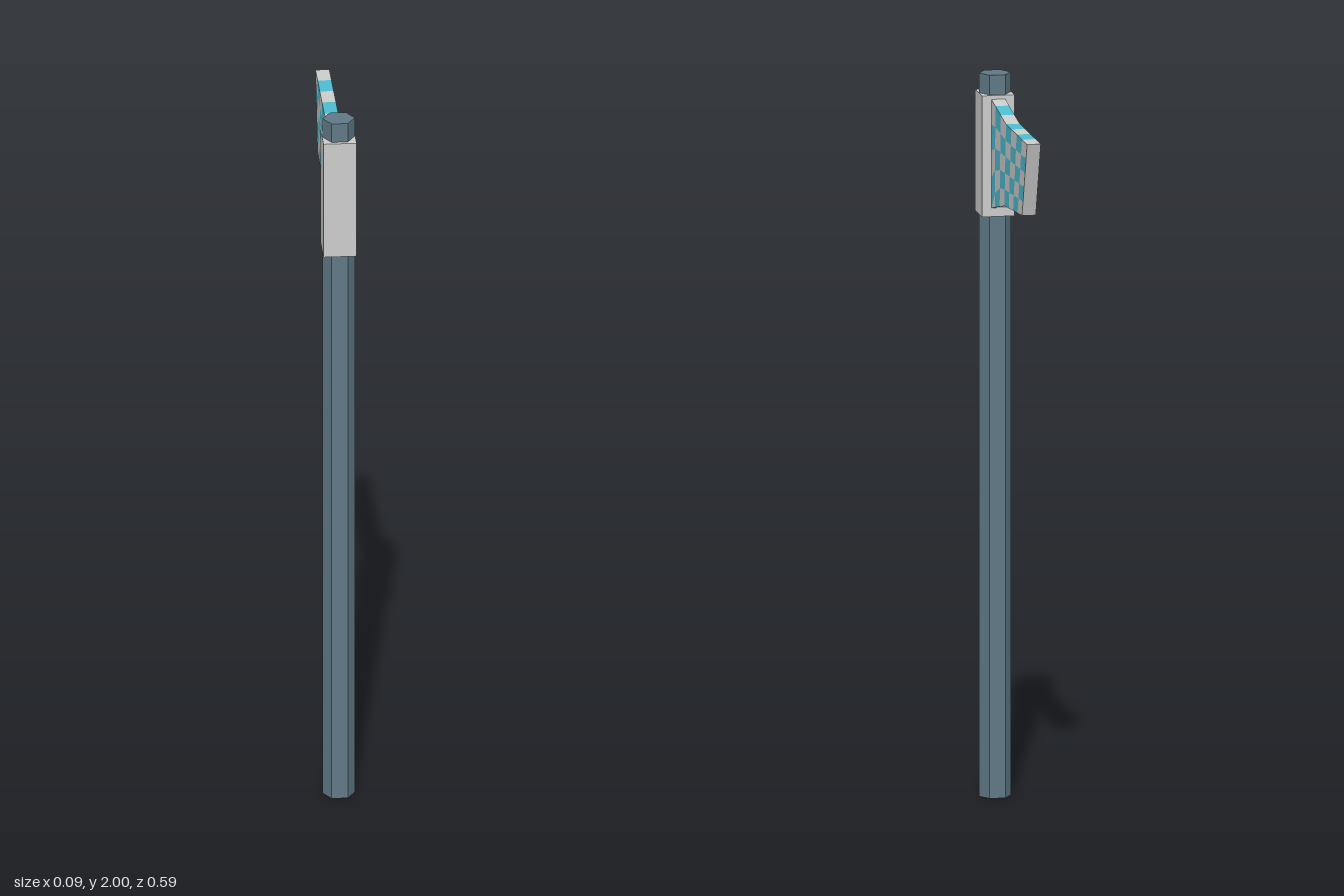
import * as THREE from 'three';

const mat = (name, color, extra = {}) => {
  const m = new THREE.MeshStandardMaterial({ color, ...extra });
  m.name = name;
  return m;
};

// Column edges of the blade: [z at top, z at bottom], from sleeve to tip
const columns = [
  [0.2, 0.2], [0.146, 0.152], [0.072, 0.086], [-0.002, 0.02],
  [-0.077, -0.041], [-0.151, -0.102], [-0.225, -0.164], [-0.297, -0.227],
];
const ROWS = 5, HALF = 0.019;
const evenRows = [0, 0.2, 0.4, 0.6, 0.8, 1];
const baseRows = [0, 0.23, 0.47, 0.72, 1, 1]; // checks are taller beside the sleeve
const baseWeight = [1, 0.3];

const topY = (z) => 1.905 + 0.03 * Math.max(0, z / 0.2);
const bottomY = (z) => (z > 0.02 ? 1.675 - 0.04 * (z - 0.02) / 0.18 : 1.675 + 0.02 * (0.02 - z) / 0.247);

// Corner of a check, at column edge c and row edge r, on side s (+1 or -1)
function corner(c, r, s) {
  const [zt, zb] = columns[c];
  const f = THREE.MathUtils.lerp(evenRows[r], baseRows[r], baseWeight[c] ?? 0);
  return [
    s * HALF,
    THREE.MathUtils.lerp(topY(zt), bottomY(zb), f),
    THREE.MathUtils.lerp(zt, zb, f),
  ];
}

function meshFromQuads(quads, material, name) {
  const points = quads.flatMap(([a, b, c, d]) => [...a, ...b, ...c, ...a, ...c, ...d]);
  const geo = new THREE.BufferGeometry();
  geo.setAttribute('position', new THREE.Float32BufferAttribute(points, 3));
  geo.computeVertexNormals();
  const mesh = new THREE.Mesh(geo, material);
  mesh.name = name;
  return mesh;
}

export function createModel() {
  const group = new THREE.Group();
  group.name = 'flagPole';
  const steel = mat('steelBlue', 0x607985);
  const grey = mat('paleGrey', 0xcbcdcb);
  const cyan = mat('cyan', 0x4fbcd1);
  steel.flatShading = true;

  // Hexagonal pole
  const pole = new THREE.Mesh(new THREE.CylinderGeometry(0.044, 0.044, 2, 6).rotateY(Math.PI / 6), steel);
  pole.name = 'pole';
  pole.position.set(0, 1, 0.248);
  group.add(pole);

  // Square sleeve around the pole
  const sleeve = new THREE.Mesh(new THREE.BoxGeometry(0.09, 0.335, 0.096), grey);
  sleeve.name = 'sleeve';
  sleeve.position.set(0, 1.778, 0.249);
  group.add(sleeve);

  // Chequered blade, sorted into the two colours
  const greyQuads = [], cyanQuads = [];
  for (let c = 0; c < columns.length - 1; c++) {
    for (let r = 0; r < ROWS; r++) {
      const list = (c + r) % 2 ? cyanQuads : greyQuads;
      const face = (s) => [corner(c, r + 1, s), corner(c + 1, r + 1, s), corner(c + 1, r, s), corner(c, r, s)];
      list.push(face(1), face(-1).reverse());
    }
    // Upper and lower edges
    const edge = (r) => [corner(c, r, 1), corner(c + 1, r, 1), corner(c + 1, r, -1), corner(c, r, -1)];
    (c % 2 ? cyanQuads : greyQuads).push(edge(0));
    greyQuads.push(edge(ROWS).reverse());
  }
  // Slanted tip
  const tip = columns.length - 1;
  greyQuads.push([corner(tip, ROWS, 1), corner(tip, ROWS, -1), corner(tip, 0, -1), corner(tip, 0, 1)]);

  const flag = new THREE.Group();
  flag.name = 'flag';
  flag.add(meshFromQuads(greyQuads, grey, 'flagGreyChecks'), meshFromQuads(cyanQuads, cyan, 'flagCyanChecks'));
  group.add(flag);
  return group;
}
